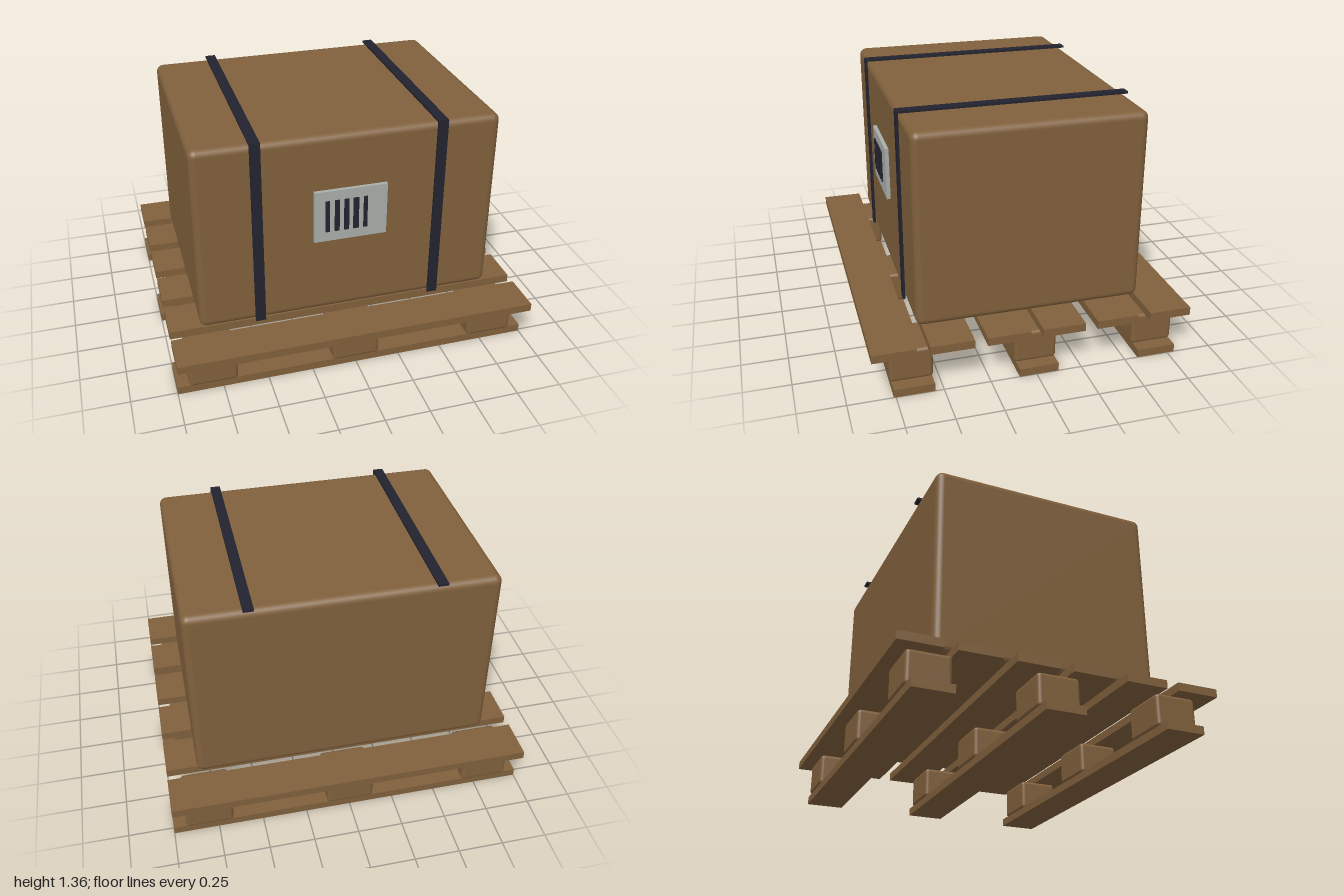
import * as THREE from 'three';
import { RoundedBoxGeometry } from 'three/addons/geometries/RoundedBoxGeometry.js';

function material(name, color) {
  const m = new THREE.MeshStandardMaterial({ color });
  m.name = name;
  return m;
}

export function createModel() {
  const wood = material('brown wood', 0x80603c);
  const dark = material('dark strap', 0x22232e);
  const paper = material('grey label', 0xa9aeaa);

  const model = new THREE.Group();
  model.name = 'crateOnPallet';
  const pallet = new THREE.Group();
  pallet.name = 'pallet';
  const cargo = new THREE.Group();
  cargo.name = 'cargo';
  model.add(pallet, cargo);

  // Box given by its extents on each axis, rounded when a radius is set
  function box(parent, name, mat, [x0, x1], [y0, y1], [z0, z1], radius = 0) {
    const size = [x1 - x0, y1 - y0, z1 - z0];
    const geometry = radius
      ? new RoundedBoxGeometry(...size, 4, radius)
      : new THREE.BoxGeometry(...size);
    const mesh = new THREE.Mesh(geometry, mat);
    mesh.name = name;
    mesh.position.set((x0 + x1) / 2, (y0 + y1) / 2, (z0 + z1) / 2);
    parent.add(mesh);
  }
  const around = (centre, width) => [centre - width / 2, centre + width / 2];

  // Six deck boards
  for (let i = 0; i < 6; i++) {
    box(pallet, 'deckBoard', wood, [-1, 1], [0.22, 0.265], around(-0.75 + i * 0.3, 0.232));
  }

  // Three runners, each carrying three blocks
  for (const z of [-0.682, -0.014, 0.654]) {
    box(pallet, 'bottomBoard', wood, [-1, 1], [0, 0.045], around(z, 0.215));
    for (const x of [-0.802, -0.002, 0.798]) {
      box(pallet, 'block', wood, around(x, 0.265), [0.04, 0.22], around(z, 0.232), 0.02);
    }
  }

  // Crate
  box(cargo, 'crate', wood, [-0.832, 0.83], [0.28, 1.342], [-0.632, 0.6], 0.04);

  // Straps over the top and down the front
  for (const x of [-0.502, 0.497]) {
    box(cargo, 'topStrap', dark, around(x, 0.056), [1.343, 1.355], [-0.64, 0.61]);
    box(cargo, 'frontStrap', dark, around(x, 0.056), [0.28, 1.35], [0.601, 0.613]);
  }

  // Label with its printed bars
  box(cargo, 'label', paper, [-0.202, 0.198], [0.737, 1.036], [0.605, 0.626]);
  const barWidths = [0.022, 0.026, 0.027, 0.03, 0.021];
  barWidths.forEach((width, i) => {
    box(cargo, 'labelBar', dark, around(-0.131 + i * 0.052, width), [0.796, 0.98], [0.625, 0.633]);
  });

  return model;
}
